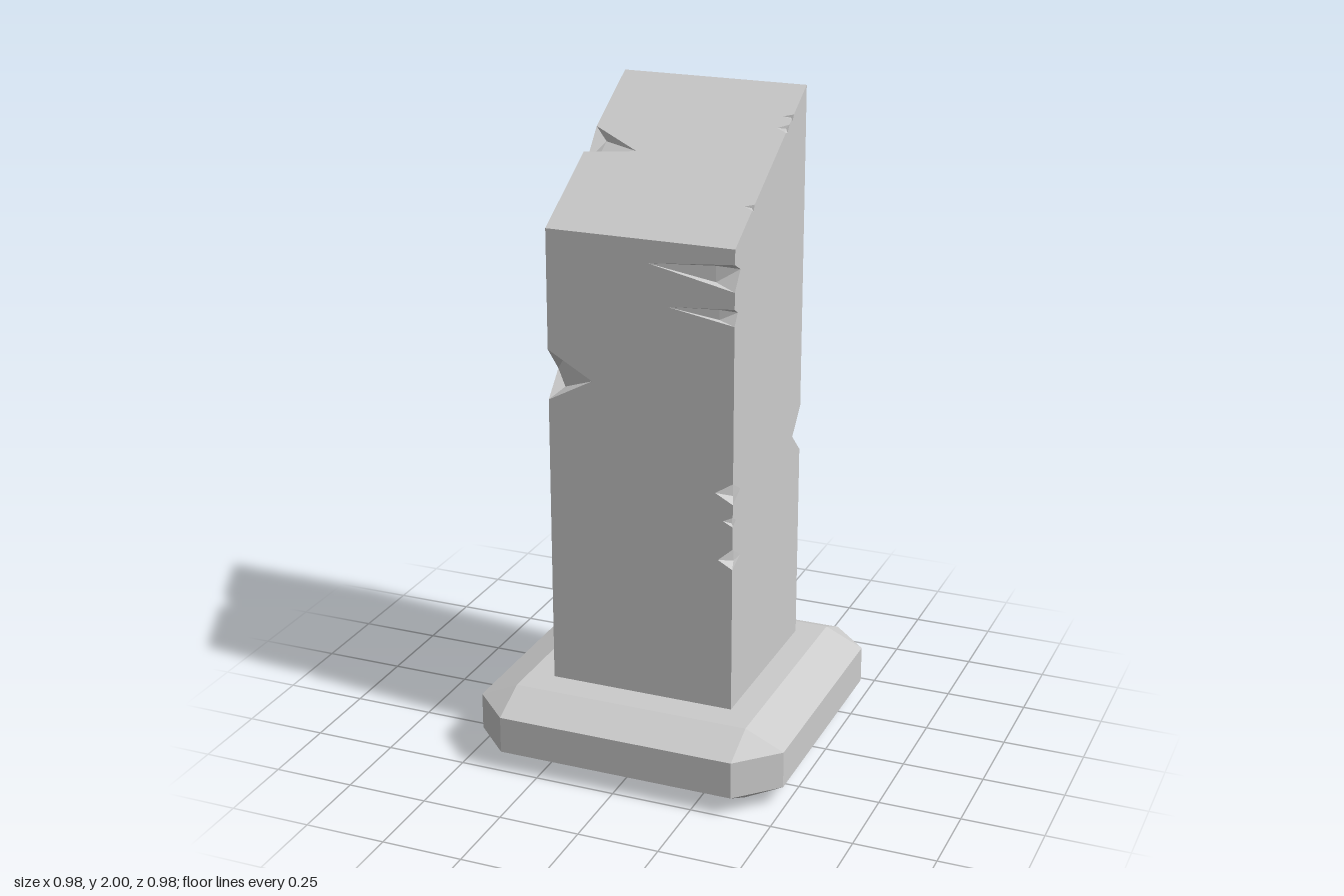
import * as THREE from 'three';
import { ConvexGeometry } from 'three/addons/geometries/ConvexGeometry.js';

const V = (x, y, z) => new THREE.Vector3(x, y, z);
const material = new THREE.MeshStandardMaterial({ color: 0xcccccc, flatShading: true });

// Chamfered square plinth
function plinthGeometry() {
  const inner = 0.372, outer = 0.492, points = [];
  for (const sx of [-1, 1]) for (const sz of [-1, 1]) {
    for (const y of [0, 0.23]) points.push(V(sx * inner, y, sz * inner));
    for (const y of [0.06, 0.175]) {
      points.push(V(sx * outer, y, sz * inner), V(sx * inner, y, sz * outer));
    }
  }
  return new ConvexGeometry(points);
}

// Pillar corners: bottom ring, then the slanted top ring
const X = 0.29, FRONT = 0.277, BACK = -0.305;
const corners = [
  V(-X, 0.23, FRONT), V(X, 0.23, FRONT), V(X, 0.23, BACK), V(-X, 0.23, BACK),
  V(-X, 1.655, FRONT), V(X, 1.655, FRONT), V(X, 2, BACK), V(-X, 2, BACK),
];
const faces = [
  { loop: [0, 1, 5, 4], normal: V(0, 0, 1) },
  { loop: [1, 2, 6, 5], normal: V(1, 0, 0), side: true },
  { loop: [2, 3, 7, 6], normal: V(0, 0, -1) },
  { loop: [3, 0, 4, 7], normal: V(-1, 0, 0), side: true },
  { loop: [4, 5, 6, 7], normal: V(0, 0.86, 0.51) },
  { loop: [3, 2, 1, 0], normal: V(0, -1, 0) },
];

// Chips per edge: [start, end, tip, reach along x, reach into the side face]
// Positions are heights on upright edges and z on the sloping edges.
const chips = {
  '0-4': [[1.135, 1.29, 1.21, 0.14, 0.07]],
  '1-5': [
    [0.685, 0.75, 0.71, 0.045, 0.065], [0.82, 0.85, 0.835, 0.03, 0.025],
    [0.89, 0.955, 0.92, 0.055, 0.06], [1.43, 1.48, 1.465, 0.205, 0.025],
    [1.53, 1.61, 1.587, 0.265, 0.043],
  ],
  '2-6': [[0.855, 1.0, 0.92, 0.22, 0.07]],
  '3-7': [
    [0.475, 0.53, 0.505, 0.075, 0.035], [0.55, 0.59, 0.57, 0.05, 0.03],
    [1.0, 1.03, 1.015, 0.06, 0.025], [1.12, 1.15, 1.135, 0.04, 0.03],
    [1.165, 1.205, 1.185, 0.05, 0.04], [1.51, 1.54, 1.525, 0.05, 0.03],
    [1.575, 1.62, 1.6, 0.07, 0.045],
  ],
  '4-7': [[0.005, -0.09, -0.015, 0.16, 0.045]],
  '5-6': [
    [0.145, 0.125, 0.135, 0.028, 0.012], [-0.128, -0.158, -0.142, 0.032, 0.012],
    [-0.178, -0.195, -0.185, 0.03, 0.012],
  ],
};

function pillarGeometry() {
  const positions = [];
  // Add a triangle wound so that it faces along dir
  const addTriangle = (a, b, c, dir) => {
    const n = b.clone().sub(a).cross(c.clone().sub(a));
    for (const p of n.dot(dir) < 0 ? [a, c, b] : [a, b, c]) positions.push(p.x, p.y, p.z);
  };

  // Chip cavities
  const cuts = {};
  for (const [key, list] of Object.entries(chips)) {
    const [a, b] = key.split('-').map(i => corners[i]);
    const axis = a.z === b.z || Math.abs(a.y - b.y) > 1 ? 'y' : 'z';
    const at = v => a.clone().lerp(b, (v - a[axis]) / (b[axis] - a[axis]));
    const inX = V(-Math.sign(a.x), 0, 0);
    const inSide = axis === 'y' ? V(0, 0, -Math.sign(a.z)) : V(0, -1, 0);
    cuts[key] = list.map(([from, to, tip, reachX, reachSide]) => {
      const start = at(from), end = at(to);
      const tipX = at(tip).addScaledVector(inX, reachX);
      const tipSide = at(tip).addScaledVector(inSide, reachSide);
      const [p, q] = [0.2, 0.8].map(t => start.clone().lerp(end, t)
        .addScaledVector(inX, reachX * 0.25).addScaledVector(inSide, reachSide * 0.6));
      const mouth = start.clone().lerp(end, 0.5);
      const walls = [
        [tipX, p, q], [tipSide, p, q], [start, tipX, p],
        [start, p, tipSide], [end, q, tipX], [end, tipSide, q],
      ];
      for (const w of walls) {
        const centre = w[0].clone().add(w[1]).add(w[2]).divideScalar(3);
        addTriangle(...w, mouth.clone().sub(centre));
      }
      return { start, end, tipX, tipSide };
    });
  }

  // Flat faces, with the chip outlines cut from their borders
  for (const { loop, normal, side } of faces) {
    const outline = [];
    loop.forEach((i, k) => {
      const j = loop[(k + 1) % 4];
      const along = [];
      for (const c of cuts[`${Math.min(i, j)}-${Math.max(i, j)}`] || []) {
        along.push(c.start, side ? c.tipSide : c.tipX, c.end);
      }
      outline.push(corners[i], ...(i < j ? along : along.reverse()));
    });
    const flat = outline.map(p => Math.abs(normal.x) > 0.9 ? new THREE.Vector2(-p.z * normal.x, p.y)
      : Math.abs(normal.z) > 0.9 ? new THREE.Vector2(p.x * normal.z, p.y)
        : new THREE.Vector2(p.x, -p.z));
    for (const t of THREE.ShapeUtils.triangulateShape(flat, [])) {
      addTriangle(...t.map(i => outline[i]), normal);
    }
  }

  const geometry = new THREE.BufferGeometry();
  geometry.setAttribute('position', new THREE.Float32BufferAttribute(positions, 3));
  geometry.computeVertexNormals();
  return geometry;
}

export function createModel() {
  const model = new THREE.Group();
  model.name = 'chippedPillar';
  const parts = { plinth: plinthGeometry(), pillar: pillarGeometry() };
  for (const [name, geometry] of Object.entries(parts)) {
    const mesh = new THREE.Mesh(geometry, material);
    mesh.name = name;
    model.add(mesh);
  }
  return model;
}
